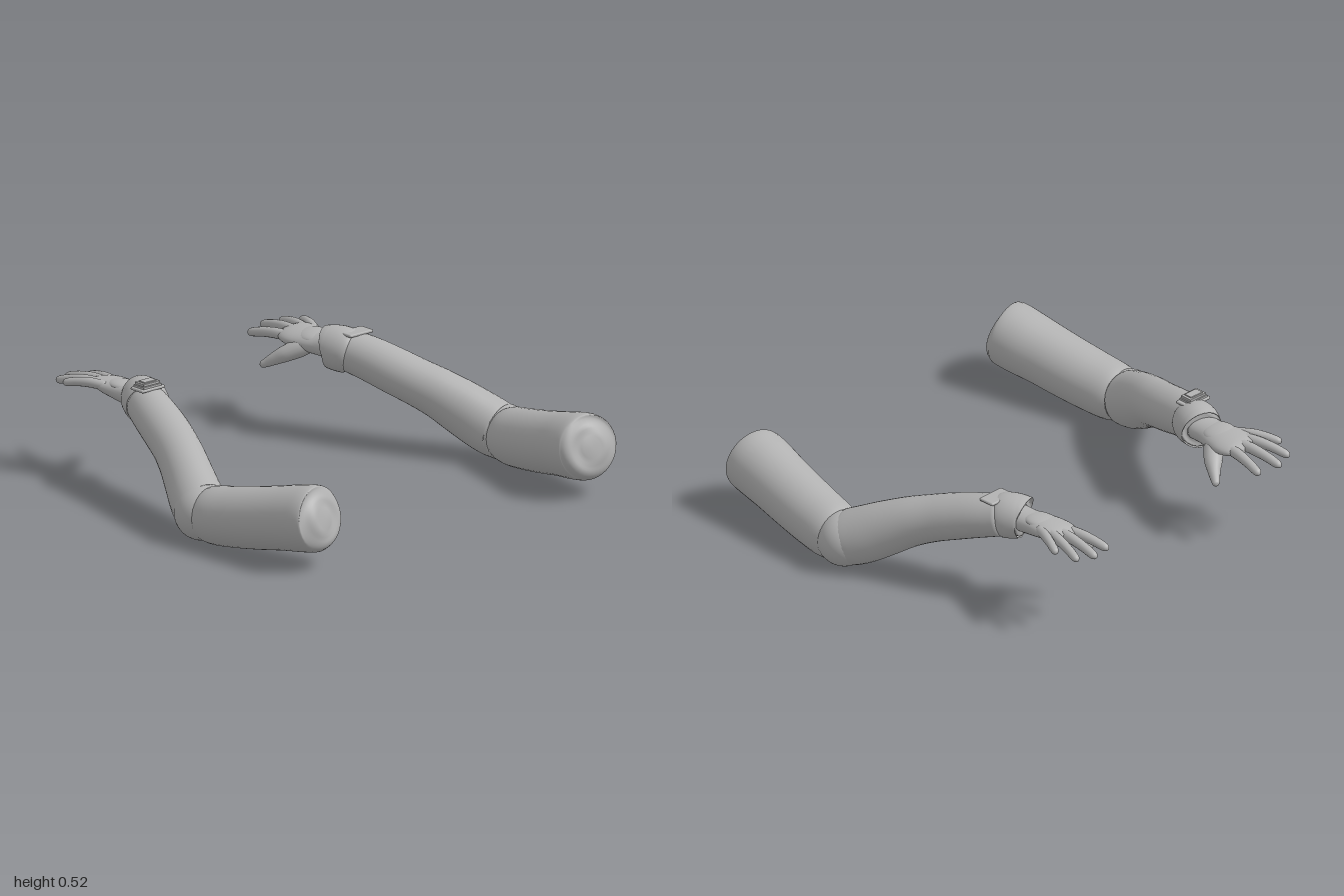
import * as THREE from 'three';
import { RoundedBoxGeometry } from 'three/addons/geometries/RoundedBoxGeometry.js';

const UP = new THREE.Vector3(0, 1, 0);

// Closed smooth loft through elliptical rings [x, y, z, halfWidth, halfHeight]
function loft(rings, roll = 0, sides = 32, perSpan = 5) {
  const path = new THREE.CatmullRomCurve3(
    rings.map((r) => new THREE.Vector3(r[0], r[1], r[2])), false, 'catmullrom');
  const size = new THREE.CatmullRomCurve3(
    rings.map((r) => new THREE.Vector3(r[3], r[4] ?? r[3], 0)), false, 'catmullrom');
  const steps = (rings.length - 1) * perSpan;
  const pos = [], index = [];
  for (let i = 0; i <= steps; i++) {
    const c = path.getPoint(i / steps), s = size.getPoint(i / steps);
    const t = path.getTangent(i / steps);
    const side = new THREE.Vector3().crossVectors(t, UP).normalize().applyAxisAngle(t, roll);
    const up = new THREE.Vector3().crossVectors(side, t);
    for (let j = 0; j < sides; j++) {
      const a = (j / sides) * Math.PI * 2;
      const p = c.clone().addScaledVector(side, s.x * Math.cos(a)).addScaledVector(up, s.y * Math.sin(a));
      pos.push(p.x, p.y, p.z);
      if (i < steps) {
        const k = i * sides + j, n = i * sides + ((j + 1) % sides);
        index.push(k, k + sides, n, n, k + sides, n + sides);
      }
    }
  }
  // Slightly domed ends
  for (const end of [0, 1]) {
    const c = path.getPoint(end);
    const bulge = size.getPoint(end).y * 0.1;
    c.addScaledVector(path.getTangent(end), end ? bulge : -bulge);
    const centre = pos.length / 3, base = end * steps * sides;
    pos.push(c.x, c.y, c.z);
    for (let j = 0; j < sides; j++) {
      const k = base + j, n = base + ((j + 1) % sides);
      index.push(centre, end ? n : k, end ? k : n);
    }
  }
  const g = new THREE.BufferGeometry();
  g.setAttribute('position', new THREE.Float32BufferAttribute(pos, 3));
  g.setIndex(index);
  g.computeVertexNormals();
  return g;
}

// Ring lists for the arm on the -x side
const UPPER_ARM = [
  [-0.775, 0.237, 0.955, 0.04], [-0.777, 0.235, 0.947, 0.092], [-0.779, 0.231, 0.93, 0.134],
  [-0.783, 0.227, 0.905, 0.147], [-0.792, 0.213, 0.83, 0.147], [-0.809, 0.192, 0.72, 0.141],
  [-0.826, 0.168, 0.60, 0.138], [-0.846, 0.144, 0.46, 0.134], [-0.862, 0.129, 0.34, 0.127],
  [-0.868, 0.127, 0.26, 0.10],
];
const FOREARM = [
  [-0.864, 0.13, 0.285, 0.115], [-0.858, 0.136, 0.25, 0.124], [-0.835, 0.162, 0.19, 0.12, 0.127],
  [-0.793, 0.211, 0.10, 0.112, 0.122], [-0.745, 0.264, 0, 0.106, 0.111], [-0.70, 0.304, -0.10, 0.104, 0.104],
  [-0.662, 0.338, -0.20, 0.104, 0.102], [-0.625, 0.372, -0.31, 0.10, 0.098], [-0.585, 0.40, -0.42, 0.092],
];
const CUFF = [
  [-0.59, 0.393, -0.395, 0.09], [-0.582, 0.397, -0.412, 0.099], [-0.568, 0.402, -0.445, 0.101],
  [-0.55, 0.406, -0.485, 0.096], [-0.547, 0.406, -0.492, 0.088], [-0.546, 0.406, -0.494, 0.06],
];
const PALM = [
  [-0.56, 0.405, -0.47, 0.072, 0.054], [-0.555, 0.405, -0.54, 0.072, 0.05], [-0.547, 0.409, -0.61, 0.084, 0.046],
  [-0.545, 0.415, -0.68, 0.094, 0.038], [-0.555, 0.419, -0.73, 0.085, 0.029], [-0.56, 0.42, -0.77, 0.05, 0.015],
];
const THUMB = [
  [-0.53, 0.402, -0.56, 0.022], [-0.494, 0.383, -0.615, 0.04], [-0.447, 0.354, -0.665, 0.04, 0.037],
  [-0.416, 0.33, -0.70, 0.029], [-0.394, 0.309, -0.73, 0.021], [-0.38, 0.298, -0.748, 0.015],
  [-0.376, 0.295, -0.754, 0.006],
];
// name, base point, tip point, radius
const FINGERS = [
  ['indexFinger', [-0.505, 0.408, -0.69], [-0.464, 0.384, -0.93], 0.023],
  ['middleFinger', [-0.55, 0.42, -0.70], [-0.566, 0.394, -0.958], 0.023],
  ['ringFinger', [-0.59, 0.426, -0.69], [-0.65, 0.40, -0.928], 0.022],
  ['littleFinger', [-0.605, 0.426, -0.65], [-0.691, 0.418, -0.838], 0.021],
];

function fingerRings(a, b, r) {
  const profile = [[0, 1.05], [0.35, 1.05], [0.65, 0.95], [0.87, 0.86], [0.96, 0.68], [1, 0.25]];
  return profile.map(([t, k]) => [
    a[0] + (b[0] - a[0]) * t,
    a[1] + (b[1] - a[1]) * t + 0.012 * Math.sin(Math.PI * t), // gentle knuckle arch
    a[2] + (b[2] - a[2]) * t, r * k,
  ]);
}

export function createModel() {
  const grey = new THREE.MeshStandardMaterial({ color: 0xb2b2b2 });
  grey.name = 'grey';
  const model = new THREE.Group();
  model.name = 'armPair';

  for (const s of [1, -1]) {
    const arm = new THREE.Group();
    arm.name = s > 0 ? 'leftArm' : 'rightArm';
    model.add(arm);
    // Part points are written for -x, so the +x arm flips them
    const add = (name, geometry, at) => {
      const m = new THREE.Mesh(geometry, grey);
      m.name = name;
      if (at) m.position.set(-at[0] * s, at[1], at[2]);
      arm.add(m);
      return m;
    };
    const side = (rings) => rings.map(([x, ...rest]) => [-x * s, ...rest]);

    // Sleeve
    add('upperSleeve', loft(side(UPPER_ARM)));
    add('elbow', new THREE.SphereGeometry(0.124, 32, 20), [-0.874, 0.128, 0.27]);
    add('forearmSleeve', loft(side(FOREARM)));
    add('cuff', loft(side(CUFF)));

    // Hand, rolled so that the thumb side sits lower
    add('palm', loft(side(PALM), -s * 0.13));
    add('thumb', loft(side(THUMB), 0, 16));
    for (const [name, a, b, r] of FINGERS) add(name, loft(side(fingerRings(a, b, r)), 0, 14, 4));
    const pad = add('handBackPad', new THREE.SphereGeometry(1, 32, 16), [-0.548, 0.43, -0.605]);
    pad.scale.set(0.07, 0.028, 0.085);
    pad.rotation.z = s * 0.13;

    // Wrist plate
    add('wristPlate', new RoundedBoxGeometry(0.134, 0.014, 0.08, 2, 0.006), [-0.603, 0.483, -0.387]);
  }

  // Stacked wrist device on one arm only
  const device = [
    ['deviceBody', 0.105, 0.012, 0.068, 0.494],
    ['deviceFrame', 0.096, 0.012, 0.06, 0.506],
    ['deviceScreen', 0.07, 0.008, 0.042, 0.513],
  ];
  for (const [name, w, h, d, y] of device) {
    const m = new THREE.Mesh(new RoundedBoxGeometry(w, h, d, 2, 0.003), grey);
    m.name = name;
    m.position.set(-0.605, y, -0.387);
    model.add(m);
  }
  return model;
}
